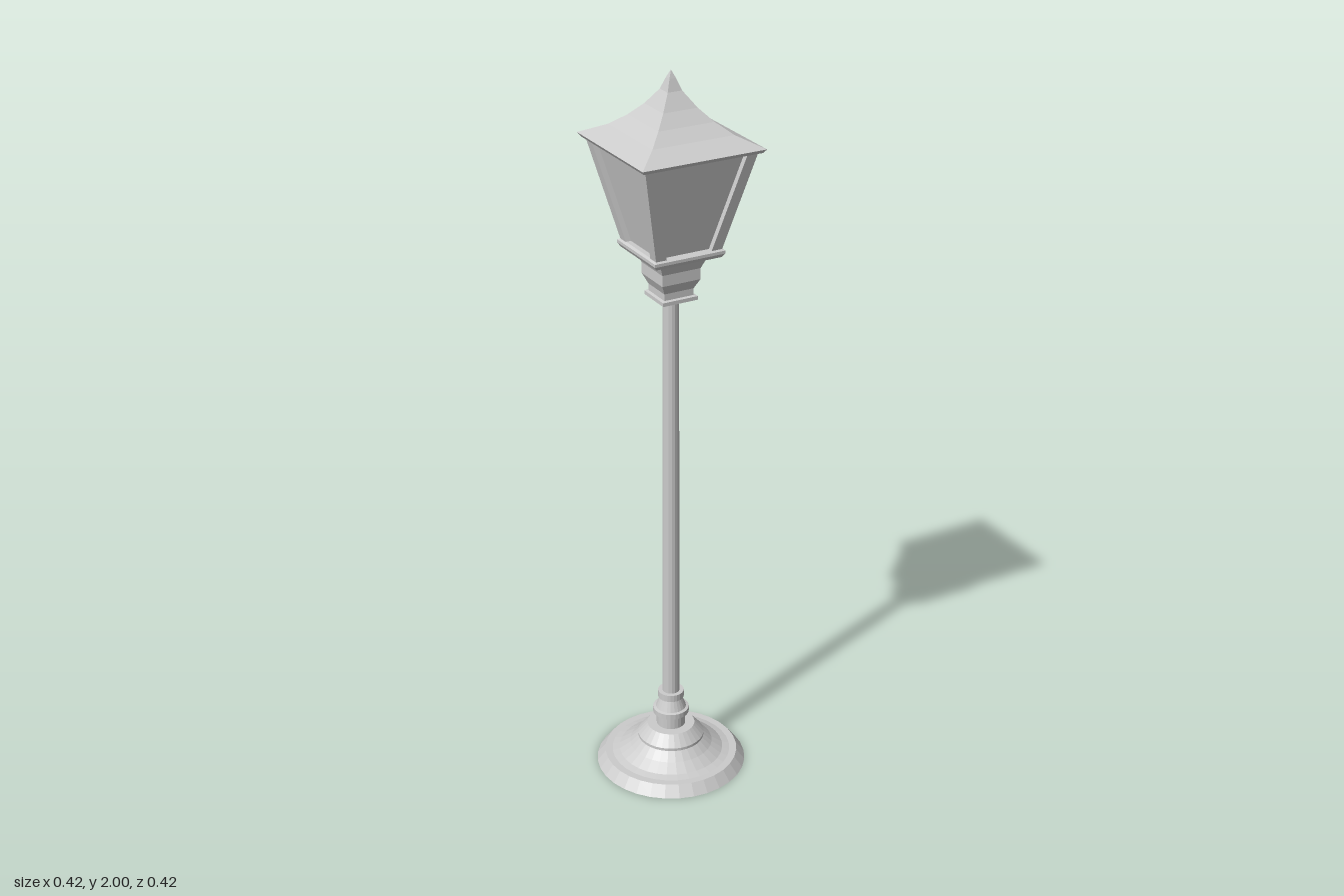
import * as THREE from 'three';

const metal = new THREE.MeshStandardMaterial({ color: 0xcccccc, flatShading: true });

function add(group, name, geometry) {
  const mesh = new THREE.Mesh(geometry, metal);
  mesh.name = name;
  group.add(mesh);
  return mesh;
}

// Round turned part from [radius, y] pairs, bottom to top
function turned(profile, sides) {
  return new THREE.LatheGeometry(profile.map(([r, y]) => new THREE.Vector2(r, y)), sides);
}

// Square part from [half width, y] pairs, bottom to top
function squared(profile) {
  const points = profile.map(([h, y]) => new THREE.Vector2(h * Math.SQRT2, y));
  return new THREE.LatheGeometry(points, 4, Math.PI / 4);
}

// Leaning corner post: a box whose top is shifted outwards
function cornerPost(bottom, top, y0, y1, width) {
  const geometry = new THREE.BoxGeometry(width, y1 - y0, width);
  const p = geometry.attributes.position;
  for (let i = 0; i < p.count; i++) {
    const c = p.getY(i) > 0 ? top : bottom;
    p.setXYZ(i, p.getX(i) + c, p.getY(i) + (y0 + y1) / 2, p.getZ(i) + c);
  }
  geometry.computeVertexNormals();
  return geometry;
}

export function createModel() {
  const lamp = new THREE.Group();
  lamp.name = 'streetLamp';

  // Stepped round foot
  add(lamp, 'base', turned([
    [0, 0], [0.208, 0], [0.185, 0.03], [0.165, 0.03], [0.145, 0.035], [0.115, 0.055],
    [0.092, 0.077], [0.092, 0.085], [0.066, 0.115], [0.04, 0.115], [0, 0.115],
  ], 32));

  // Turned collar between foot and pole
  add(lamp, 'baseCollar', turned([
    [0.04, 0.11], [0.04, 0.153], [0.05, 0.153], [0.05, 0.168], [0.042, 0.17],
    [0.03, 0.202], [0.036, 0.202], [0.036, 0.222], [0, 0.222],
  ], 24));

  // Slender, slightly tapered pole
  add(lamp, 'pole', turned([[0.024, 0.21], [0.021, 1.42]], 16));

  // Square neck carrying the lantern
  add(lamp, 'neck', squared([
    [0, 1.405], [0.05, 1.405], [0.05, 1.415], [0.042, 1.417], [0.042, 1.435],
    [0.055, 1.462], [0.055, 1.492], [0.068, 1.525], [0.068, 1.54],
  ]));
  add(lamp, 'lanternTray', squared([
    [0, 1.528], [0.094, 1.528], [0.1, 1.538], [0.1, 1.546], [0.093, 1.55], [0, 1.55],
  ]));

  // Lantern body: recessed panes and four leaning posts
  add(lamp, 'panes', squared([[0.078, 1.545], [0.142, 1.812]]));
  for (let i = 0; i < 4; i++) {
    const post = add(lamp, 'cornerPost', cornerPost(0.078, 0.142, 1.545, 1.812, 0.03));
    post.rotation.y = i * Math.PI / 2;
  }

  // Swept pyramid roof with a pointed tip
  add(lamp, 'roof', squared([
    [0, 1.81], [0.165, 1.81], [0.172, 1.82], [0.114, 1.849], [0.078, 1.878],
    [0.048, 1.91], [0.02, 1.95], [0.009, 1.98], [0, 2],
  ]));

  return lamp;
}
